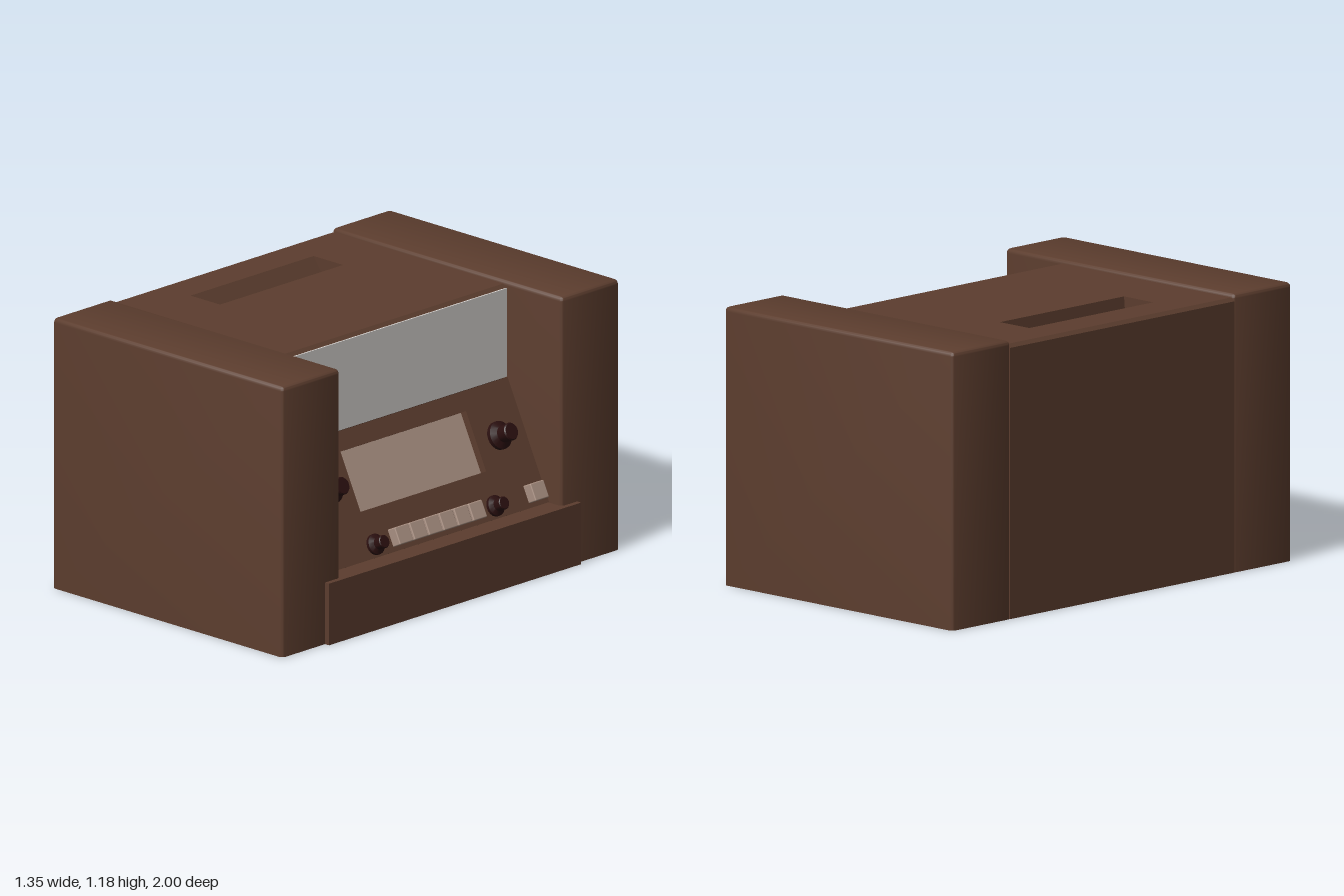
import * as THREE from 'three';
import { toCreasedNormals } from 'three/addons/utils/BufferGeometryUtils.js';
import { RoundedBoxGeometry } from 'three/addons/geometries/RoundedBoxGeometry.js';

const material = (name, color) => {
  const m = new THREE.MeshStandardMaterial({ color });
  m.name = name;
  return m;
};

export function createModel() {
  const wood = material('brown wood', 0x5c3d2e);
  const glass = material('pale glass', 0xd8d4d1);
  const cream = material('dusty cream', 0xa88f81);
  const dark = material('dark knob', 0x2a0f0f);

  const model = new THREE.Group();
  model.name = 'cabinet';

  const add = (parent, name, geometry, mat, x = 0, y = 0, z = 0) => {
    const mesh = new THREE.Mesh(geometry, mat);
    mesh.name = name;
    mesh.position.set(x, y, z);
    parent.add(mesh);
    return mesh;
  };

  // Side towers: rounded boxes with the bottom edge squared off
  const radius = 0.02, height = 1.176;
  const makeTower = () => {
    const g = new RoundedBoxGeometry(1.327, height, 0.345, 3, radius);
    const p = g.attributes.position;
    for (let i = 0; i < p.count; i++) {
      if (p.getY(i) < -height / 2 + radius + 1e-4) p.setY(i, -height / 2);
    }
    return toCreasedNormals(g, 0.6);
  };
  for (const side of [-1, 1]) {
    add(model, side > 0 ? 'leftTower' : 'rightTower', makeTower(), wood, -0.0115, height / 2, side * 0.8275);
  }

  // Central body, in three slices; the middle one has the grip recess
  const bodySlice = (z0, z1, recessed) => {
    const points = [
      [-0.675, 0], [0.535, 0], [0.535, 0.25], [0.3, 0.74], [0.33, 0.76],
      [0.33, 1.145], [0.315, 1.16],
    ];
    if (recessed) points.push([-0.33, 1.16], [-0.345, 1.0], [-0.45, 1.09], [-0.5, 1.16]);
    points.push([-0.66, 1.16], [-0.675, 1.145]);
    const shape = new THREE.Shape(points.map(([x, y]) => new THREE.Vector2(x, y)));
    const g = new THREE.ExtrudeGeometry(shape, { depth: z1 - z0, bevelEnabled: false });
    add(model, recessed ? 'bodyWithGrip' : 'body', g, wood, 0, 0, z0);
  };
  bodySlice(-0.66, -0.37, false);
  bodySlice(-0.37, 0.36, true);
  bodySlice(0.36, 0.66, false);

  // Plinth and upright window
  add(model, 'plinth', new THREE.BoxGeometry(0.275, 0.268, 1.494), wood, 0.5375, 0.134, 0);
  add(model, 'window', new THREE.BoxGeometry(0.008, 0.385, 1.31), glass, 0.333, 0.9525, 0);

  // Sloping control panel: local x to the right, y up the slope, z outward
  const panel = new THREE.Group();
  panel.name = 'controlPanel';
  const up = new THREE.Vector3(-0.24, 0.49, 0).normalize();
  const right = new THREE.Vector3(0, 0, -1);
  const out = new THREE.Vector3().crossVectors(right, up);
  panel.quaternion.setFromRotationMatrix(new THREE.Matrix4().makeBasis(right, up, out));
  panel.position.set(0.58, 0.27, 0);
  model.add(panel);
  const slope = (y) => (y - 0.27) / up.y;

  const rect = (target, x, y0, y1) => {
    target.moveTo(-x, y0);
    target.lineTo(x, y0);
    target.lineTo(x, y1);
    target.lineTo(-x, y1);
    target.closePath();
    return target;
  };
  const face = rect(new THREE.Shape(), 0.658, 0, slope(0.76));
  face.holes.push(rect(new THREE.Path(), 0.372, slope(0.45), slope(0.686)));
  add(panel, 'panelFace', new THREE.ExtrudeGeometry(face, { depth: 0.04, bevelEnabled: false }), wood, 0, 0, -0.04);
  add(panel, 'display', new THREE.BoxGeometry(0.744, slope(0.686) - slope(0.45), 0.006), cream, 0, slope(0.568), -0.036);

  // Knobs: wide flange, narrow neck and a cap
  const knob = (name, x, y, s) => {
    const profile = [[0, 0], [0.06, 0], [0.06, 0.018], [0.035, 0.034], [0.038, 0.082], [0.034, 0.088], [0, 0.088]];
    const g = new THREE.LatheGeometry(profile.map(([r, h]) => new THREE.Vector2(r * s, h * s)), 20);
    g.rotateX(Math.PI / 2);
    add(panel, name, toCreasedNormals(g, 0.5), dark, x, slope(y), 0);
  };
  for (const side of [-1, 1]) {
    knob('largeKnob', side * 0.5, 0.562, 1);
    knob('smallKnob', side * 0.355, 0.318, 0.74);
  }

  // Push buttons: a row of six and a single one
  const button = (x) => add(panel, 'button', new RoundedBoxGeometry(0.08, 0.076, 0.056, 2, 0.005), cream, x, slope(0.322), 0.017);
  for (let i = 0; i < 6; i++) button((i - 2.5) * 0.0875);
  button(0.585);

  return model;
}
